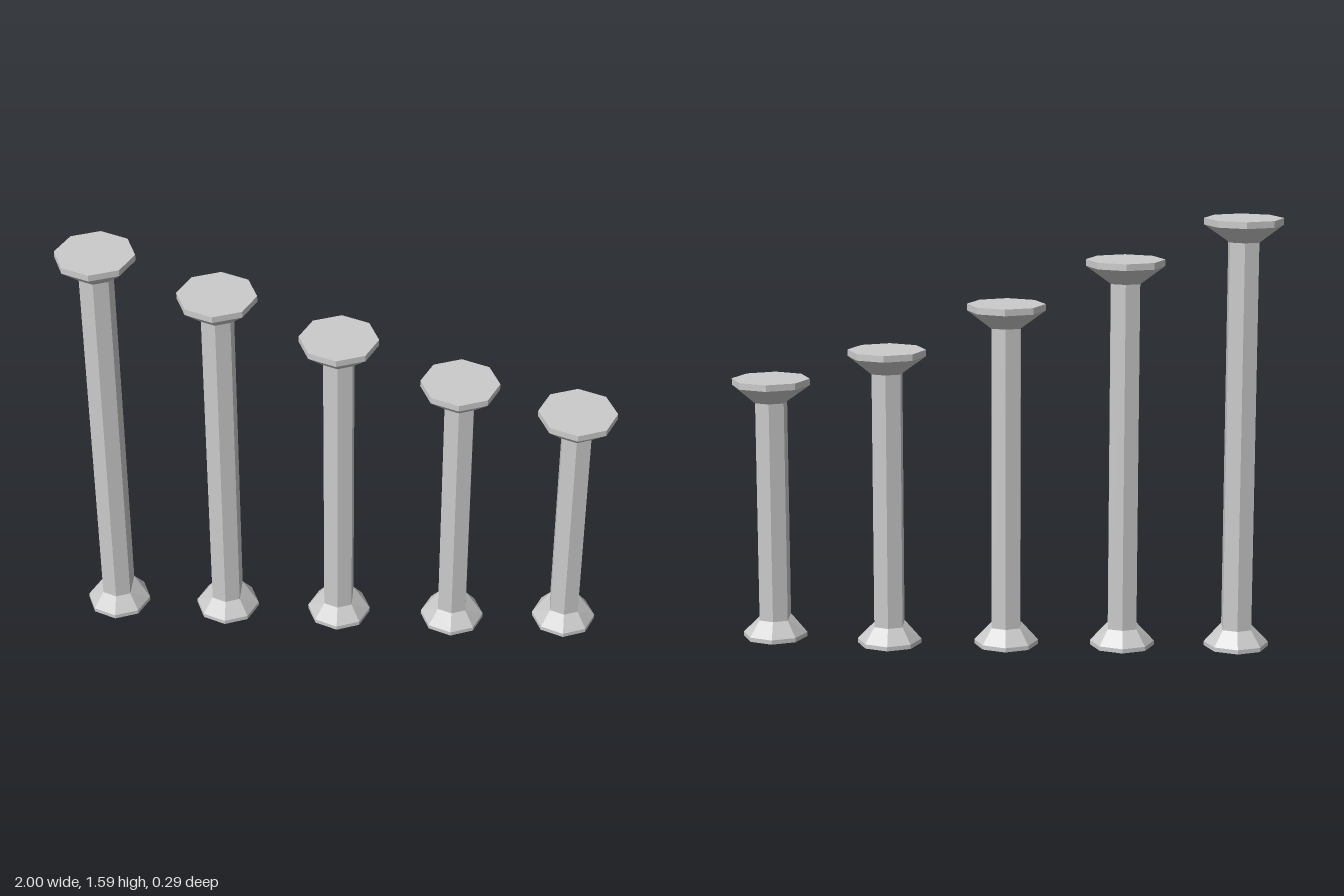
import * as THREE from 'three';

const SIDES = 8;
const material = new THREE.MeshStandardMaterial({ color: 0xcccccc, flatShading: true });

// Octagonal ring with corners on the axes; shaft rings have their x corners flattened.
function ring(radius, y, flat) {
  const limit = flat ? radius * Math.SQRT1_2 : radius;
  return Array.from({ length: SIDES }, (_, k) => {
    const a = (k / SIDES) * Math.PI * 2;
    const x = Math.max(-limit, Math.min(limit, radius * Math.sin(a)));
    return new THREE.Vector3(x, y, radius * Math.cos(a));
  });
}

// Skins stacked [radius, y, flat] rings, bottom to top, with optional end caps.
function loft(profile, capBottom, capTop) {
  const rings = profile.map(([r, y, flat]) => ring(r, y, flat));
  const pts = [];
  for (let i = 0; i < rings.length - 1; i++) {
    const lo = rings[i], hi = rings[i + 1];
    const widerBelow = profile[i][0] > profile[i + 1][0];
    for (let k = 0; k < SIDES; k++) {
      const n = (k + 1) % SIDES;
      // the fold runs from an on-axis corner of the wide ring to the narrow ring
      if ((k % 2 === 0) === widerBelow) pts.push(lo[k], lo[n], hi[n], lo[k], hi[n], hi[k]);
      else pts.push(lo[k], lo[n], hi[k], lo[n], hi[n], hi[k]);
    }
  }
  const first = rings[0], last = rings[rings.length - 1];
  for (let k = 1; k < SIDES - 1; k++) {
    if (capBottom) pts.push(first[0], first[k + 1], first[k]);
    if (capTop) pts.push(last[0], last[k], last[k + 1]);
  }
  const geometry = new THREE.BufferGeometry().setFromPoints(pts);
  geometry.computeVertexNormals();
  return geometry;
}

function part(name, geometry) {
  const mesh = new THREE.Mesh(geometry, material);
  mesh.name = name;
  return mesh;
}

const SHAFT = 0.074, BASE = 0.119, CAP = 0.143;

function createColumn(x, bottom, top) {
  const column = new THREE.Group();
  column.name = 'column';
  column.position.x = x;
  const shaftBottom = bottom + 0.073, shaftTop = top - 0.083;
  column.add(
    // flared foot
    part('base', loft([[BASE, bottom], [BASE, bottom + 0.016], [SHAFT, shaftBottom, true]], true, false)),
    // plain shaft
    part('shaft', loft([[SHAFT, shaftBottom, true], [SHAFT, shaftTop, true]], false, false)),
    // flared head with a thin lip
    part('capital', loft([[SHAFT, shaftTop, true], [CAP, top - 0.024], [CAP, top]], false, true)),
  );
  return column;
}

export function createModel() {
  const model = new THREE.Group();
  model.name = 'columnRow';
  // x, bottom, top of each column, descending towards +x
  const columns = [
    [-0.857, 0, 1.592],
    [-0.434, 0, 1.441],
    [-0.004, 0, 1.277],
    [0.431, 0, 1.107],
    [0.857, 0.022, 0.998],
  ];
  for (const [x, bottom, top] of columns) model.add(createColumn(x, bottom, top));
  return model;
}
